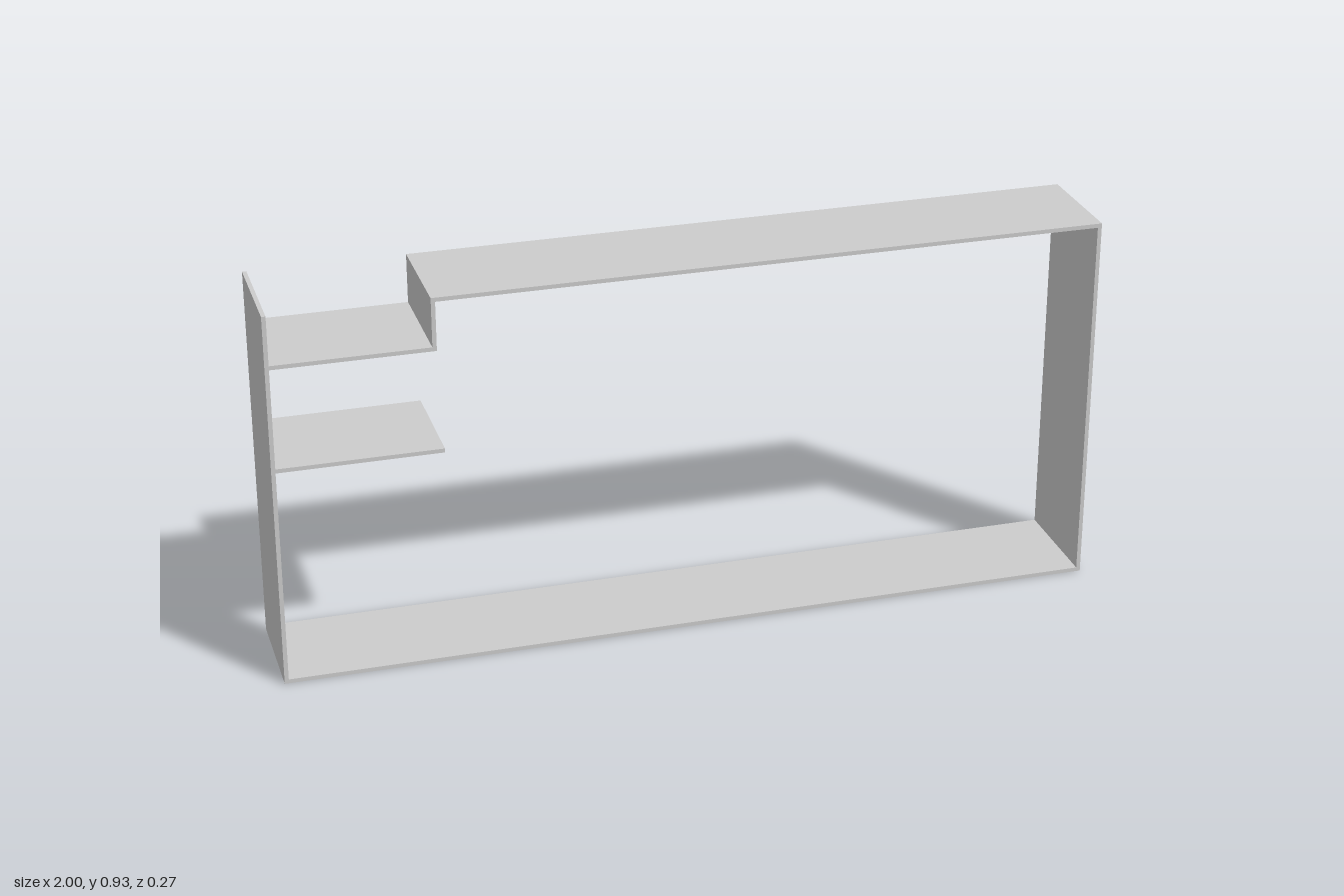
import * as THREE from 'three';

const DEPTH = 0.272;
const T = 0.01; // board thickness
const H = 0.93; // overall height

export function createModel() {
  const group = new THREE.Group();
  const grey = new THREE.MeshStandardMaterial({ color: 0xcccccc });
  grey.name = 'light grey';

  // A board spanning the full depth, given by its front-facing rectangle
  function board(name, x0, x1, y0, y1) {
    const mesh = new THREE.Mesh(new THREE.BoxGeometry(x1 - x0, y1 - y0, DEPTH), grey);
    mesh.position.set((x0 + x1) / 2, (y0 + y1) / 2, 0);
    mesh.name = name;
    group.add(mesh);
  }

  // Outer frame
  board('bottomPanel', -1, 1, 0, T);
  board('rightEndWall', -1, -1 + T, T, H);
  board('leftEndWall', 1 - T, 1, T, H - T);
  board('topPanel', -0.62, 1, H - T, H);

  // Lowered section of the top
  board('stepRiser', -0.62, -0.62 + T, 0.81, H - T);
  board('loweredTop', -1 + T, -0.62 + T, 0.80, 0.81);

  // Free-ended inner shelf
  board('innerShelf', -1 + T, -0.6, 0.545, 0.555);

  return group;
}
